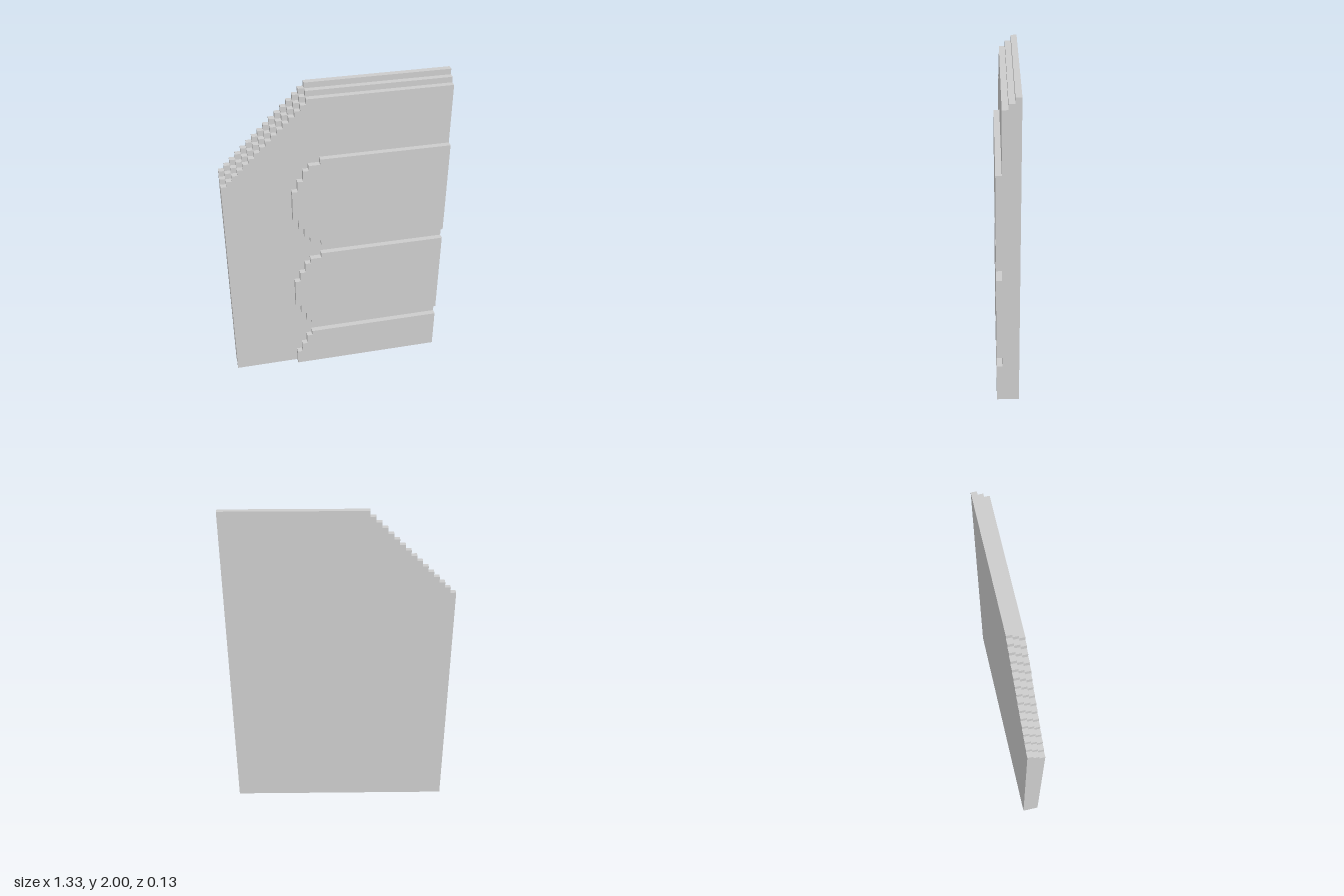
import * as THREE from 'three';

const U = 1 / 30; // edge of one block

// Extrude a stepped outline (in block units) one block deep, starting at block z
function slab(name, points, z, material) {
  const shape = new THREE.Shape(points.map(([x, y]) => new THREE.Vector2(x * U, y * U)));
  const geometry = new THREE.ExtrudeGeometry(shape, { depth: U, bevelEnabled: false });
  geometry.translate(0, 0, z * U);
  const mesh = new THREE.Mesh(geometry, material);
  mesh.name = name;
  return mesh;
}

// Panel layer: rectangle whose upper corner is cut by a staircase
function panelOutline(top) {
  const points = [[20, 0], [20, top], [-5, top]];
  for (let i = 14; i >= 0; i--) {
    const y = top - 15 + i;
    points.push([i - 19, y], [i - 20, y]);
  }
  points.push([-20, 0]);
  return points;
}

// Raised bar: rounded end described as rows of [left x, top y], from the bottom up
function barOutline(bottom, rows) {
  const points = [[20, bottom]];
  let y = bottom;
  for (const [x, top] of rows) {
    points.push([x, y], [x, top]);
    y = top;
  }
  points.push([20, y]);
  return points.reverse();
}

export function createModel() {
  const group = new THREE.Group();
  group.name = 'steppedPanel';
  const material = new THREE.MeshStandardMaterial({ color: 0xcccccc, flatShading: true });

  // Three panel layers, each one block lower towards the front
  ['panelBack', 'panelMiddle', 'panelFront'].forEach((name, i) => {
    group.add(slab(name, panelOutline(60 - i), i - 2, material));
  });

  // Raised bars on the front face
  const bars = {
    lowerBar: [0, [[-8, 3], [-7, 5], [-6, 7], [-5, 8]]],
    middleBar: [10, [[-5, 11], [-6, 13], [-7, 15], [-8, 21], [-7, 23], [-6, 25], [-5, 26], [-3, 27]]],
    upperBar: [29, [[-3, 30], [-5, 31], [-6, 33], [-7, 35], [-8, 41], [-7, 43], [-6, 45], [-5, 46], [-3, 47]]],
  };
  for (const [name, [bottom, rows]] of Object.entries(bars)) {
    group.add(slab(name, barOutline(bottom, rows), 1, material));
  }
  return group;
}
